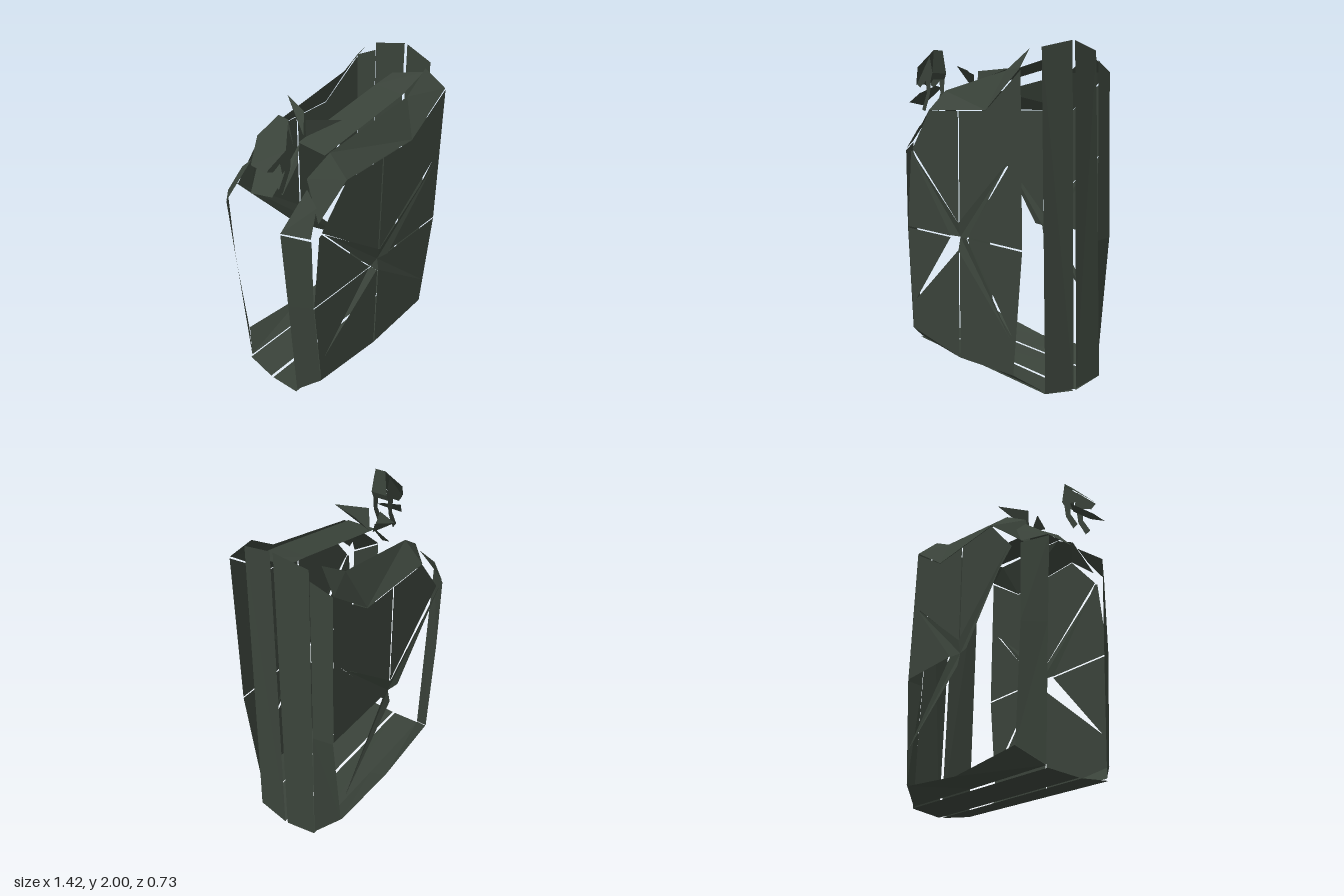
import * as THREE from 'three';

const paint = new THREE.MeshStandardMaterial({ color: 0x3a433a, side: THREE.DoubleSide });
paint.name = 'dark olive paint';

// Flat sheet fanned from its first corner
function sheet(parent, name, pts) {
  const pos = [];
  for (let i = 1; i < pts.length - 1; i++) pos.push(...pts[0], ...pts[i], ...pts[i + 1]);
  const g = new THREE.BufferGeometry();
  g.setAttribute('position', new THREE.Float32BufferAttribute(pos, 3));
  g.computeVertexNormals();
  const m = new THREE.Mesh(g, paint);
  m.name = name;
  parent.add(m);
}

// Strip between two edges with the same number of points
function strip(parent, name, a, b) {
  const pos = [];
  for (let i = 0; i < a.length - 1; i++)
    pos.push(...a[i], ...b[i], ...b[i + 1], ...a[i], ...b[i + 1], ...a[i + 1]);
  const g = new THREE.BufferGeometry();
  g.setAttribute('position', new THREE.Float32BufferAttribute(pos, 3));
  g.computeVertexNormals();
  const m = new THREE.Mesh(g, paint);
  m.name = name;
  parent.add(m);
}

// Upright outline plate at depth z
function plate(parent, name, pts, z) {
  const g = new THREE.ShapeGeometry(new THREE.Shape(pts.map(p => new THREE.Vector2(...p))));
  const m = new THREE.Mesh(g, paint);
  m.name = name;
  m.position.z = z;
  parent.add(m);
}

// Side panel pieces, cut by the pressed cross
const panels = {
  upperLeftTop: [[0.065, 0.93], [0.065, 1.605], [0.32, 1.605], [0.62, 1.82], [0.56, 1.35]],
  upperLeftSide: [[0.14, 0.86], [0.56, 1.35], [0.62, 1.82], [0.64, 0.86]],
  upperRightTop: [[0.055, 0.93], [-0.45, 1.36], [-0.25, 1.605], [0.055, 1.605]],
  upperRightSide: [[-0.03, 0.845], [-0.52, 0.84], [-0.47, 1.34], [-0.45, 1.35]],
  lowerRightSide: [[-0.03, 0.835], [-0.44, 0.35], [-0.47, 0.15], [-0.52, 0.83]],
  lowerRightBottom: [[0.055, 0.77], [-0.44, 0.35], [-0.47, 0.15], [0.055, 0.09]],
  lowerLeftBottom: [[0.065, 0.77], [0.065, 0.09], [0.57, 0.13], [0.56, 0.35]],
  lowerLeftSide: [[0.14, 0.85], [0.64, 0.85], [0.57, 0.13], [0.56, 0.35]],
};
const backPanels = ['upperLeftTop', 'upperLeftSide', 'upperRightTop'];

export function createModel() {
  const model = new THREE.Group();
  model.name = 'fuelCan';

  for (const s of [1, -1]) {
    const side = new THREE.Group();
    side.name = s > 0 ? 'frontHalf' : 'backHalf';
    model.add(side);
    const Z = 0.345 * s, E = 0.22 * s, C = 0.01 * s;

    for (const [name, pts] of Object.entries(panels))
      if (s > 0 || backPanels.includes(name)) plate(side, name + 'Panel', pts, Z);

    // Pressed cross: three tapering arms with a shallow ridge
    for (const [tx, ty] of [[0.56, 1.35], [0.56, 0.35], [-0.45, 1.36]]) {
      const dx = Math.sign(tx), dy = Math.sign(ty - 0.85);
      const tip = [tx, ty, 0.365 * s], hub = [0.06, 0.85, 0.335 * s];
      sheet(side, 'crossArm', [tip, [0.06, 0.85 + dy * 0.085, 0.352 * s], hub,
        [0.06 + dx * 0.085, 0.85, 0.352 * s]]);
    }

    // Floor half and bottom bevel
    sheet(side, 'floor', [[-0.59, 0.01, C], [0.715, 0, C], [0.7, 0.03, E], [-0.58, 0.03, E]]);
    strip(side, 'bottomBevel',
      [[-0.57, 0.045, E], [0.06, 0.04, E], [0.69, 0.04, E]],
      [[-0.47, 0.15, Z], [0.06, 0.09, Z], [0.57, 0.13, Z]]);

    // Tall end wall half
    sheet(side, 'endWall', [[0.715, 0.01, C], [0.665, 1.99, C], [0.635, 1.945, 0.21 * s], [0.7, 0.03, E]]);

    // Corner strip beside the spout
    strip(side, 'spoutCorner',
      [[-0.64, 1.39, E], [-0.61, 0.84, E], [-0.57, 0.05, E]],
      [[-0.53, 1.345, Z], [-0.525, 0.84, Z], [-0.475, 0.15, Z]]);

    // Top bevel
    strip(side, 'topBevel',
      [[-0.25, 1.73, E], [0.38, 1.83, 0.245 * s], [0.56, 1.94, 0.23 * s]],
      [[-0.25, 1.61, Z], [0.32, 1.61, Z], [0.615, 1.83, Z]]);
    sheet(side, 'slopingBevel', [[-0.25, 1.61, Z], [-0.25, 1.73, E], [-0.41, 1.63, 0.2 * s], [-0.46, 1.42, s > 0 ? 0.33 : -0.2]]);

    // Shoulder scrap below the spout
    sheet(side, 'shoulder', [[-0.64, 1.4, E], [-0.43, 1.58, E], [-0.44, 1.5, 0.3 * s], [-0.53, 1.36, 0.34 * s]]);

    // Handle remnant
    const tip = [-0.14, 1.88, 0.21 * s], foot = [-0.22, 1.73, C];
    sheet(side, 'handleRemnant', [tip, [-0.25, 1.86, 0.04 * s], foot]);
    sheet(side, 'handleRemnant', [tip, [-0.15, 1.83, 0.07 * s], foot]);
  }

  // Corner strip beside the tall wall, back only
  strip(model, 'wallCorner',
    [[0.645, 1.89, -0.22], [0.67, 0.85, -0.22], [0.695, 0.05, -0.22]],
    [[0.62, 1.83, -0.345], [0.645, 0.85, -0.345], [0.58, 0.14, -0.345]]);

  // Remaining half of the roof and its slope
  strip(model, 'roof',
    [[-0.28, 1.72, 0.01], [0.38, 1.83, 0.01], [0.53, 1.85, 0.01]],
    [[-0.28, 1.72, 0.21], [0.38, 1.83, 0.21], [0.62, 1.88, 0.18]]);
  sheet(model, 'roofSlope', [[-0.28, 1.72, 0.02], [-0.38, 1.66, 0.1], [-0.5, 1.52, 0.1], [-0.48, 1.54, 0.03]]);

  // Broken spout cap: slanted lid, two hooks and a flap
  const spout = new THREE.Group();
  spout.name = 'spout';
  model.add(spout);
  sheet(spout, 'lid', [[-0.67, 1.78, 0.06], [-0.57, 1.89, 0.01], [-0.48, 2, 0.08],
    [-0.48, 2, 0.15], [-0.57, 1.89, 0.22], [-0.67, 1.78, 0.17]]);
  const hook = [[-0.5, 1.96], [-0.47, 1.85], [-0.49, 1.81], [-0.5, 1.72], [-0.56, 1.6],
    [-0.6, 1.61], [-0.54, 1.72], [-0.55, 1.8], [-0.62, 1.76], [-0.66, 1.78]];
  for (const z of [0.06, 0.17]) plate(spout, 'hook', hook, z);
  strip(spout, 'rim',
    [[-0.48, 2, 0.08], [-0.47, 1.85, 0.06], [-0.49, 1.81, 0.06]],
    [[-0.48, 2, 0.15], [-0.47, 1.85, 0.17], [-0.49, 1.81, 0.17]]);
  sheet(spout, 'flap', [[-0.71, 1.64, 0.09], [-0.58, 1.76, 0.02], [-0.52, 1.77, 0.11], [-0.58, 1.72, 0.2], [-0.68, 1.66, 0.22]]);
  return model;
}
